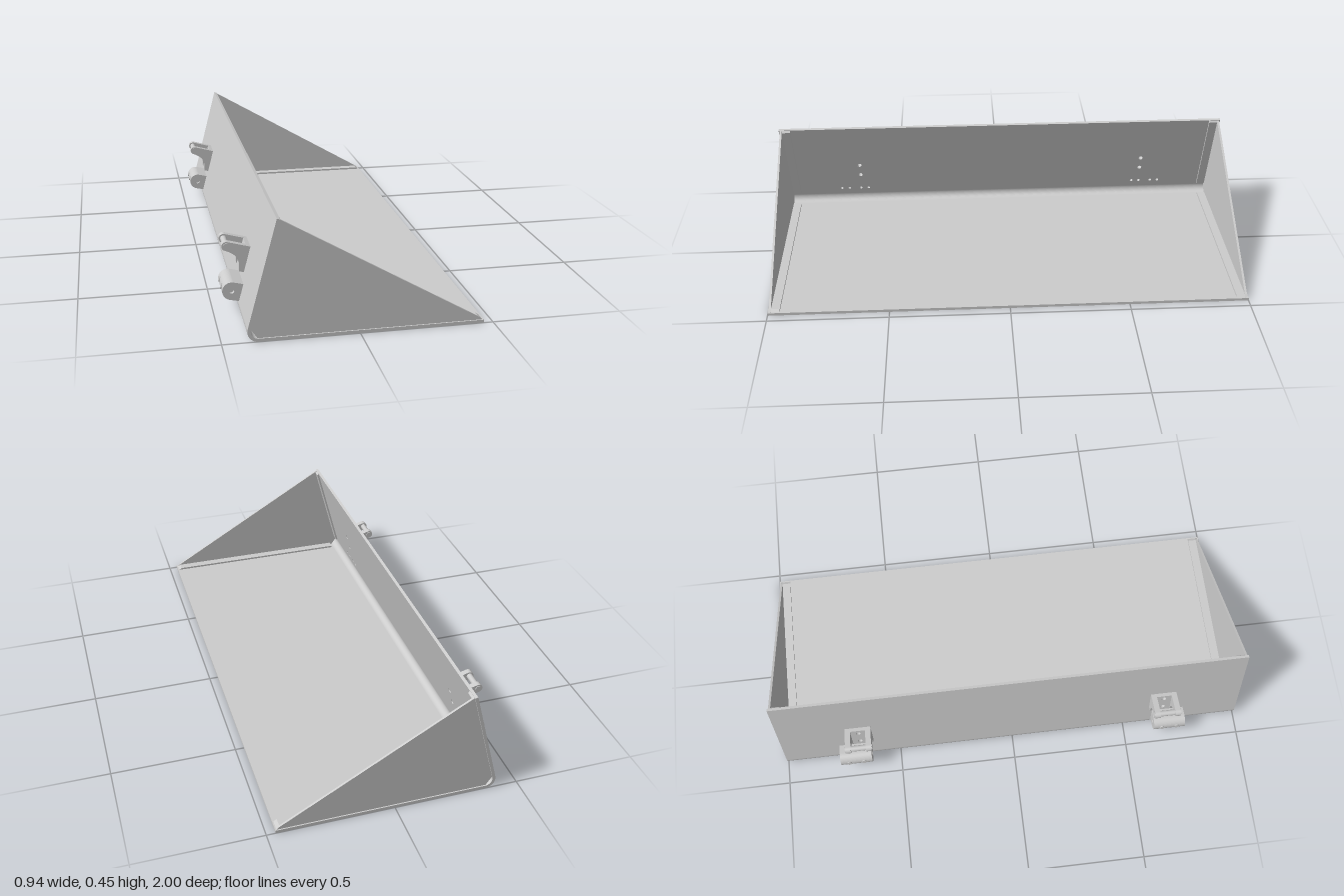
import * as THREE from 'three';

const T = 0.012;                       // sheet thickness
const R = 0.04;                        // outer bend radius
const U = new THREE.Vector2(0.256, 0.967).normalize(); // up the slanted back
const N = new THREE.Vector2(U.y, -U.x);                // into the tray
const TOP = new THREE.Vector2(-0.30, 0.455);
const LEN = (TOP.y - R * (1 + U.x)) / U.y;             // flat length of the back
const P0 = TOP.clone().addScaledVector(U, -LEN);       // foot of the back, outer face
const C = P0.clone().addScaledVector(N, R);            // bend centre

const mat = new THREE.MeshStandardMaterial({ color: 0xcccccc, side: THREE.DoubleSide });

function addMesh(parent, geometry, name) {
  const mesh = new THREE.Mesh(geometry, mat);
  mesh.name = name;
  parent.add(mesh);
  return mesh;
}

// Extrude a side-view shape between two z positions
function slab(parent, name, shape, za, zb) {
  const geo = new THREE.ExtrudeGeometry(shape, {
    depth: Math.abs(zb - za), bevelEnabled: false, curveSegments: 20,
  });
  geo.translate(0, 0, Math.min(za, zb));
  return addMesh(parent, geo, name);
}

function polygon(points) {
  return new THREE.Shape(points.map(([x, y]) => new THREE.Vector2(x, y)));
}

function hole(shape, x, y, r) {
  shape.holes.push(new THREE.Path().absarc(x, y, r, 0, Math.PI * 2, true));
}

// Point at distance s up the back and d inward from its outer face
function onBack(s, d) {
  return [P0.x + U.x * s + N.x * d, P0.y + U.y * s + N.y * d];
}
const alongBack = (y) => (y - P0.y) / U.y;

function rod(parent, name, x, y, z, r, length) {
  const geo = new THREE.CylinderGeometry(r, r, length, 24).rotateX(Math.PI / 2);
  addMesh(parent, geo, name).position.set(x, y, z);
}

export function createModel() {
  const model = new THREE.Group();
  model.name = 'tray';

  // Floor with the rounded bend, one sheet
  const end = Math.PI - Math.asin(U.x);
  const floor = new THREE.Shape();
  floor.moveTo(0.465, 0);
  floor.lineTo(0.465, T);
  floor.lineTo(C.x, T);
  floor.absarc(C.x, C.y, R - T, -Math.PI / 2, end, true);
  floor.lineTo(...onBack(0, 0));
  floor.absarc(C.x, C.y, R, end, Math.PI * 1.5, false);
  slab(model, 'floorSheet', floor, -1, 1);

  // Slanted back panel with fixing holes, drawn flat then tilted
  const panel = polygon([[0, -1], [LEN, -1], [LEN, 1], [0, 1]]);
  for (const s of [-1, 1]) {
    for (const y of [0.17, 0.23]) hole(panel, alongBack(y), s * 0.66, 0.01);
    for (const z of [0.63, 0.665, 0.72, 0.755]) hole(panel, alongBack(0.085), s * z, 0.007);
  }
  const back = addMesh(model, new THREE.ExtrudeGeometry(panel, {
    depth: T, bevelEnabled: false, curveSegments: 10,
  }), 'backPanel');
  back.geometry.applyMatrix4(new THREE.Matrix4().makeBasis(
    new THREE.Vector3(U.x, U.y, 0), new THREE.Vector3(0, 0, 1), new THREE.Vector3(N.x, N.y, 0),
  ).setPosition(P0.x, P0.y, 0));

  for (const s of [-1, 1]) {
    const sideName = s > 0 ? 'front' : 'rear';

    // Triangular end plate with flanges lying on the floor and back
    const end = new THREE.Group();
    end.name = sideName + 'EndPlate';
    model.add(end);
    const plate = polygon([
      [0.46, T], [-0.372, T], onBack(0, T), onBack(LEN - 0.002, T), [0.45, T + 0.009],
    ]);
    slab(end, 'plate', plate, s * 0.986, s * 0.995);
    const F = T + 0.008;
    slab(end, 'floorFlange', polygon([
      [-0.36, T], [0.46, T], [0.447, F], [-0.36, F],
    ]), s * 0.95, s * 0.99);
    slab(end, 'backFlange', polygon([
      onBack(0.01, T), onBack(0.01, F), onBack(LEN - 0.008, F), onBack(LEN - 0.002, T),
    ]), s * 0.95, s * 0.99);

    // Upper hinge bracket: two curved cheeks, base plate and pin
    const bracket = new THREE.Group();
    bracket.name = sideName + 'UpperBracket';
    model.add(bracket);
    const px = -0.445, py = 0.257, pr = 0.0175;
    const cheek = new THREE.Shape();
    cheek.moveTo(...onBack(alongBack(0.25), 0));
    cheek.lineTo(px + pr * U.x, py + pr * U.y);
    cheek.absarc(px, py, pr, 1.31, 4.4, false);
    cheek.quadraticCurveTo(-0.4, 0.222, -0.398, 0.185);
    cheek.lineTo(-0.398, 0.155);
    cheek.lineTo(...onBack(alongBack(0.15), 0));
    slab(bracket, 'cheek', cheek, s * 0.605, s * 0.628);
    slab(bracket, 'cheek', cheek, s * 0.692, s * 0.715);
    const base = polygon([[alongBack(0.15), 0.61], [alongBack(0.25), 0.61],
      [alongBack(0.25), 0.71], [alongBack(0.15), 0.71]].map(([a, z]) => [a, s * z]));
    for (const y of [0.17, 0.23]) hole(base, alongBack(y), s * 0.66, 0.01);
    const baseGeo = new THREE.ExtrudeGeometry(base, { depth: 0.016, bevelEnabled: false });
    baseGeo.translate(0, 0, -0.016);
    baseGeo.applyMatrix4(new THREE.Matrix4().makeBasis(
      new THREE.Vector3(U.x, U.y, 0), new THREE.Vector3(0, 0, 1), new THREE.Vector3(N.x, N.y, 0),
    ).setPosition(P0.x, P0.y, 0));
    addMesh(bracket, baseGeo, 'basePlate');
    rod(bracket, 'pin', px, py, s * 0.66, 0.012, 0.116);

    // Lower hinge knuckle: rounded block with a recessed pin
    const knuckle = new THREE.Group();
    knuckle.name = sideName + 'LowerKnuckle';
    model.add(knuckle);
    const kx = -0.433, ky = 0.095, kr = 0.035;
    const block = new THREE.Shape();
    block.moveTo(...onBack(alongBack(0.053), 0));
    block.lineTo(...onBack(alongBack(0.12), 0));
    block.lineTo(kx + kr * U.x, ky + kr * U.y);
    block.absarc(kx, ky, kr, 1.31, 1.31 + Math.PI, false);
    hole(block, kx, ky, 0.01);
    slab(knuckle, 'block', block, s * 0.62, s * 0.757);
    rod(knuckle, 'pin', kx, ky, s * 0.6885, 0.01, 0.11);
    // Bolt heads on the outer face
    for (const z of [0.655, 0.72]) {
      const bolt = addMesh(knuckle, new THREE.CylinderGeometry(0.01, 0.01, 0.006, 16), 'boltHead');
      bolt.position.set(kx - N.x * kr, ky - N.y * kr, s * z);
      bolt.rotation.z = Math.PI / 2 - Math.asin(U.x);
    }
  }
  return model;
}
